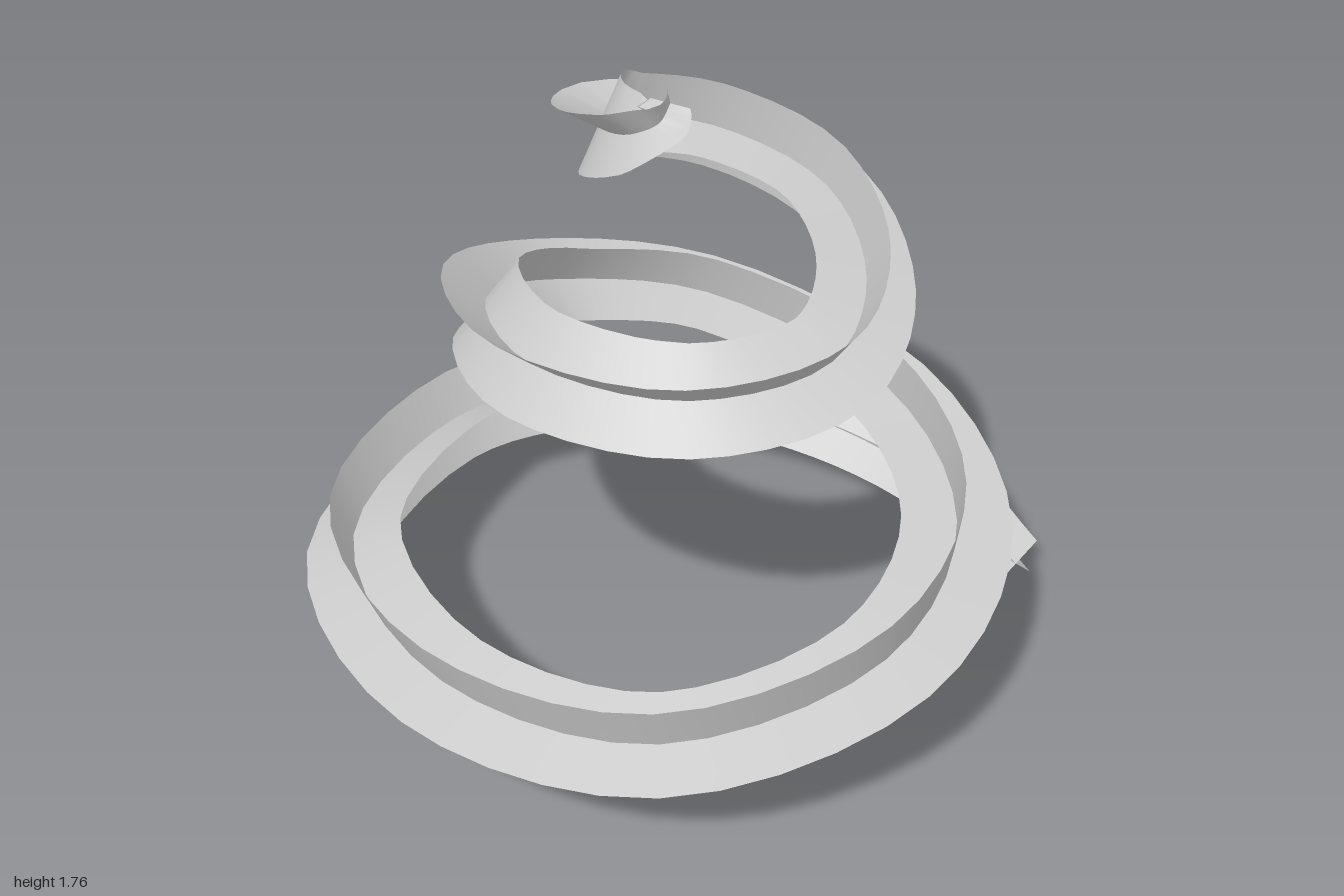
import * as THREE from 'three';

// Stations along the spiral: x, y, z, half width of the strips, roll in degrees
const STATIONS = [
  [0.5, 0.07, -0.85, 0.09, 45], [0.13, 0.115, -0.925, 0.105, 42],
  [-0.25, 0.17, -0.845, 0.115, 38], [-0.57, 0.24, -0.63, 0.125, 34],
  [-0.785, 0.3, -0.3, 0.132, 29], [-0.85, 0.35, 0.1, 0.137, 25],
  [-0.58, 0.385, 0.675, 0.14, 22], [0.06, 0.415, 0.87, 0.142, 19],
  [0.62, 0.455, 0.65, 0.142, 16], [0.835, 0.525, 0.1, 0.143, 11],
  [0.65, 0.59, -0.365, 0.145, 5], [0.2, 0.68, -0.575, 0.143, -3],
  [-0.33, 0.81, -0.4, 0.14, -15], [-0.52, 0.93, -0.02, 0.138, -29],
  [-0.38, 1.095, 0.33, 0.138, -39], [0, 1.16, 0.49, 0.14, -44],
  [0.38, 1.175, 0.33, 0.137, -46], [0.52, 1.2, 0, 0.135, -54],
  [0.42, 1.29, -0.22, 0.133, -68], [0.18, 1.405, -0.325, 0.133, -85],
  [-0.13, 1.485, -0.23, 0.135, -98], [-0.275, 1.535, -0.02, 0.135, -107],
  [-0.17, 1.59, 0.11, 0.125, -119], [-0.01, 1.655, 0.155, 0.105, -137],
  [0.05, 1.695, 0.12, 0.075, -160], [0.03, 1.72, 0.065, 0.052, -178],
];
const STEPS = (STATIONS.length - 1) * 5;
const UP = new THREE.Vector3(0, 1, 0);

const path = new THREE.CatmullRomCurve3(STATIONS.map(s => new THREE.Vector3(s[0], s[1], s[2])));
const profile = new THREE.CatmullRomCurve3(
  STATIONS.map(s => new THREE.Vector3(s[3], THREE.MathUtils.degToRad(s[4]), 0)), false, 'catmullrom');

// One flat strip swept along the path, rolled by an extra angle about it
function strip(name, extraRoll, material) {
  const positions = [], index = [];
  for (let i = 0; i <= STEPS; i++) {
    const t = i / STEPS;
    const centre = path.getPoint(t), tangent = path.getTangent(t);
    const out = new THREE.Vector3().crossVectors(tangent, UP).normalize();
    const rise = new THREE.Vector3().crossVectors(out, tangent).normalize();
    const { x: half, y: roll } = profile.getPoint(t);
    const arm = rise.multiplyScalar(Math.cos(roll + extraRoll))
      .addScaledVector(out, Math.sin(roll + extraRoll));
    for (const side of [-half, 0, half]) {
      positions.push(...centre.clone().addScaledVector(arm, side).toArray());
    }
    if (i < STEPS) {
      for (let k = 0; k < 2; k++) {
        const a = i * 3 + k, b = a + 3;
        index.push(a, b, a + 1, b, b + 1, a + 1);
      }
    }
  }
  const geometry = new THREE.BufferGeometry();
  geometry.setAttribute('position', new THREE.Float32BufferAttribute(positions, 3));
  geometry.setIndex(index);
  geometry.computeVertexNormals();
  const mesh = new THREE.Mesh(geometry, material);
  mesh.name = name;
  return mesh;
}

export function createModel() {
  const group = new THREE.Group();
  group.name = 'crossSectionSpiral';
  const material = new THREE.MeshStandardMaterial({ color: 0xcccccc, side: THREE.DoubleSide });
  // Two strips crossing at right angles along their shared centre line
  group.add(strip('uprightStrip', 0, material), strip('crossStrip', Math.PI / 2, material));
  return group;
}
